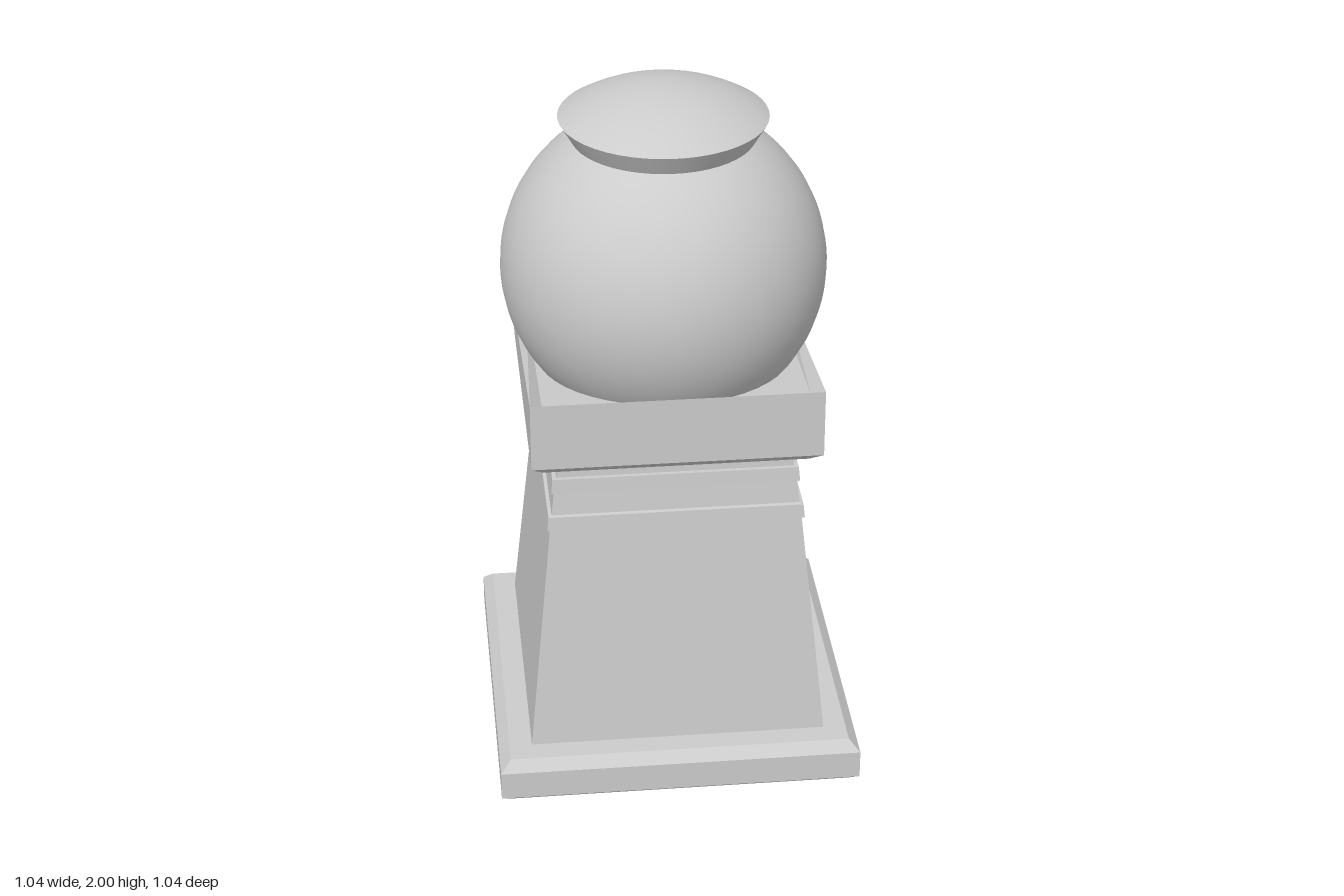
import * as THREE from 'three';

const flat = new THREE.MeshStandardMaterial({ color: 0xcccccc, flatShading: true, side: THREE.DoubleSide });
const smooth = new THREE.MeshStandardMaterial({ color: 0xcccccc, side: THREE.DoubleSide });

function add(parent, name, geometry, material = flat) {
  const mesh = new THREE.Mesh(geometry, material);
  mesh.name = name;
  parent.add(mesh);
  return mesh;
}

const points = (list) => list.map(([x, y]) => new THREE.Vector2(x, y));

// Square moulding: profile of [half width, height], turned with four sides
function squareLathe(profile) {
  const g = new THREE.LatheGeometry(points(profile.map(([w, y]) => [w * Math.SQRT2, y])), 4);
  return g.rotateY(Math.PI / 4);
}

function extrude(shape, depth) {
  return new THREE.ExtrudeGeometry(shape, { depth, bevelEnabled: false, curveSegments: 8 });
}

// Backing plate with an arched outlet and bevelled outer edges
function plateGeometry() {
  const shape = new THREE.Shape(points([[-0.25, -0.2], [0.25, -0.2], [0.25, 0.21], [-0.25, 0.21]]));
  const arch = new THREE.Path();
  arch.moveTo(-0.065, -0.19);
  arch.lineTo(-0.065, -0.1);
  arch.absarc(0, -0.1, 0.065, Math.PI, 0, true);
  arch.lineTo(0.065, -0.19);
  shape.holes.push(arch);
  const g = extrude(shape, 0.04).translate(0, 0, -0.04);
  const p = g.attributes.position;
  for (let i = 0; i < p.count; i++) {
    if (p.getZ(i) < -0.001) continue;
    if (Math.abs(p.getX(i)) > 0.2) p.setX(i, Math.sign(p.getX(i)) * 0.22);
    if (p.getY(i) > 0.2) p.setY(i, 0.198);
  }
  return g;
}

export function createModel() {
  const model = new THREE.Group();
  model.name = 'candyDispenser';

  // Hollow foot and tapering pedestal with two raised bands
  add(model, 'foot', squareLathe([
    [0.425, 0.14], [0.44, 0], [0.49, 0], [0.52, 0.025], [0.52, 0.11], [0.49, 0.14], [0.425, 0.14],
  ]));
  add(model, 'pedestal', squareLathe([
    [0.425, 0.14], [0.355, 0.824], [0.363, 0.824], [0.359, 0.865], [0.349, 0.867], [0.341, 0.935],
    [0.349, 0.937], [0.345, 0.979], [0.333, 0.979], [0.33, 1.02],
  ]));

  // Tray: rim and floor both slope down to the back
  const tray = squareLathe([
    [0, 1.02], [0.37, 1.02], [0.405, 1.05], [0.405, 1.19], [0.37, 1.188], [0, 1.188],
  ]);
  const p = tray.attributes.position;
  for (let i = 0; i < p.count; i++) {
    if (p.getY(i) < 1.1) continue;
    const slope = Math.abs(p.getX(i)) > 0.39 ? 0.148 : 0.083;
    p.setY(i, p.getY(i) + slope * p.getZ(i));
  }
  add(model, 'tray', tray);

  // Globe, open where it meets the lid and the tray
  const globe = new THREE.SphereGeometry(0.457, 48, 32, 0, Math.PI * 2, 0.56, 1.815);
  add(model, 'globe', globe, smooth).position.y = 1.47;

  // Lid: flared collar and shallow dome
  add(model, 'lidCollar', new THREE.CylinderGeometry(0.29, 0.255, 0.06, 48, 1, true), smooth).position.y = 1.885;
  const R = 0.537;
  const dome = new THREE.SphereGeometry(R, 48, 8, 0, Math.PI * 2, 0, Math.asin(0.29 / R));
  add(model, 'lidDome', dome, smooth).position.y = 2 - R;

  // Coin mechanism, leaning with the back of the pedestal (local +z points outwards)
  const mechanism = new THREE.Group();
  mechanism.name = 'coinMechanism';
  mechanism.position.set(0, 0.785, -0.397);
  mechanism.rotation.set(-0.105, Math.PI, 0, 'YXZ');
  model.add(mechanism);

  add(mechanism, 'plate', plateGeometry());
  const shaft = new THREE.CylinderGeometry(0.027, 0.018, 0.07, 8).rotateX(Math.PI / 2);
  add(mechanism, 'shaft', shaft).position.set(0, 0.085, 0.03);

  // Turning handle, widest at its hub
  const outline = [[0.022, -0.128], [0.022, -0.055], [0.045, -0.02], [0.045, 0.02], [0.022, 0.055], [0.022, 0.128]];
  const mirrored = outline.map(([x, y]) => [-x, y]).reverse();
  const handle = extrude(new THREE.Shape(points([...outline, ...mirrored])), 0.028);
  add(mechanism, 'handle', handle).position.set(0, 0.085, 0.055);

  // Outlet lip with a small turned-up edge
  const lip = extrude(new THREE.Shape(points([[-0.065, 0], [0.065, 0], [0.065, 0.05], [0.04, 0.08], [-0.04, 0.08], [-0.065, 0.05]])), 0.014);
  add(mechanism, 'outletLip', lip.rotateX(Math.PI / 2)).position.set(0, -0.18, -0.01);
  add(mechanism, 'outletLipEdge', new THREE.BoxGeometry(0.08, 0.018, 0.01)).position.set(0, -0.181, 0.069);

  return model;
}
